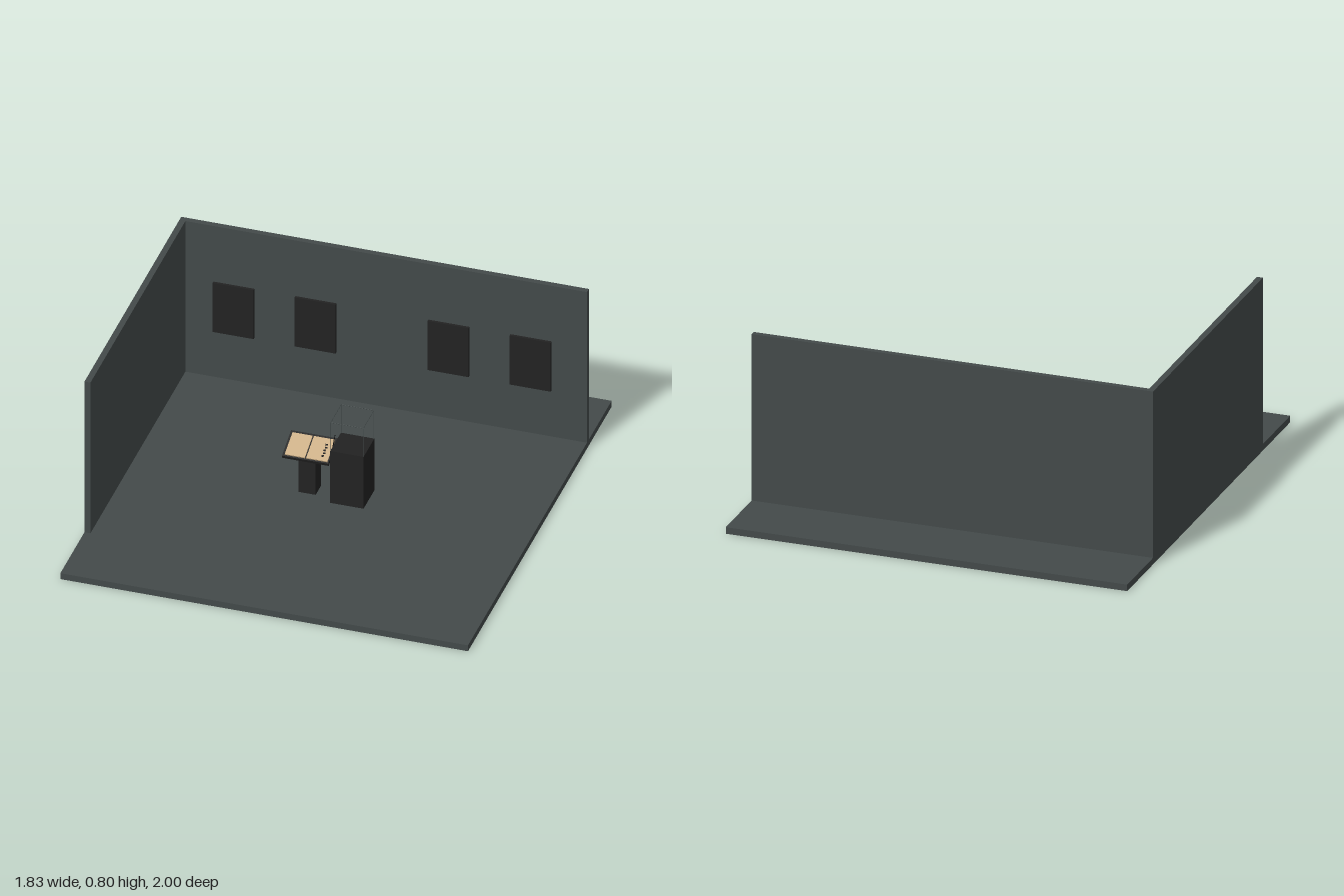
import * as THREE from 'three';

const material = (name, color) => {
  const m = new THREE.MeshStandardMaterial({ color });
  m.name = name;
  return m;
};

export function createModel() {
  const root = new THREE.Group();
  const slate = material('slate', 0x434a4a);
  const charcoal = material('charcoal', 0x222222);
  const parchment = material('parchment', 0xcbae86);
  const ink = material('ink', 0x111111);

  // Box given by its low and high limits on each axis
  function box(name, mat, [x0, x1], [y0, y1], [z0, z1], parent = root) {
    const mesh = new THREE.Mesh(new THREE.BoxGeometry(x1 - x0, y1 - y0, z1 - z0), mat);
    mesh.position.set((x0 + x1) / 2, (y0 + y1) / 2, (z0 + z1) / 2);
    mesh.name = name;
    parent.add(mesh);
    return mesh;
  }

  // Thin rod between two points
  function rod(name, mat, a, b, r0, r1, parent = root) {
    const from = new THREE.Vector3(...a), to = new THREE.Vector3(...b);
    const dir = to.clone().sub(from);
    const mesh = new THREE.Mesh(new THREE.CylinderGeometry(r1, r0, dir.length(), 6), mat);
    mesh.position.copy(from).add(to).multiplyScalar(0.5);
    mesh.quaternion.setFromUnitVectors(new THREE.Vector3(0, 1, 0), dir.normalize());
    mesh.name = name;
    parent.add(mesh);
  }

  // Room shell
  box('floor', slate, [-0.915, 0.915], [0, 0.03], [-1, 1]);
  box('backWall', slate, [-0.915, 0.915], [0.03, 0.8], [-0.683, -0.657]);
  box('sideWall', slate, [-0.915, -0.888], [0.03, 0.8], [-0.657, 0.665]);

  // Framed panels on the back wall
  for (const x of [-0.67, -0.302, 0.295, 0.664]) {
    box('wallPanel', charcoal, [x - 0.092, x + 0.092], [0.266, 0.516], [-0.657, -0.645]);
  }

  // Lectern with a sloping top
  box('lecternPost', charcoal, [-0.142, -0.064], [0.03, 0.225], [0.01, 0.085]);
  const top = new THREE.Group();
  top.name = 'lecternTop';
  top.position.set(-0.102, 0.238, 0.047);
  top.rotation.x = 0.38;
  root.add(top);
  box('slopedBoard', charcoal, [-0.104, 0.104], [-0.0075, 0.0075], [-0.069, 0.069], top);

  // Open book, two pages with a gap for the spine
  box('leftPage', parchment, [-0.093, -0.003], [0.0075, 0.0135], [-0.056, 0.062], top);
  box('rightPage', parchment, [0.003, 0.098], [0.0075, 0.0135], [-0.056, 0.062], top);

  // Column of ink marks
  for (let i = 0; i < 5; i++) {
    const x = 0.07 + (i % 2) * 0.003, z = -0.022 + i * 0.015;
    box('inkMark', ink, [x - 0.005, x + 0.005], [0.0135, 0.015], [z - 0.004, z + 0.004], top);
  }

  // Quill leaning beside the book
  rod('quill', ink, [0.0, 0.25, 0.05], [0.012, 0.33, 0.05], 0.003, 0.0015);

  // Display plinth
  box('plinth', charcoal, [0.014, 0.164], [0.03, 0.295], [-0.025, 0.125]);

  // Slender frame of the display case
  const xs = [0.0155, 0.1625], zs = [-0.0235, 0.1235], y = 0.44, r = 0.0013;
  for (const x of xs) {
    rod('caseTopRail', slate, [x, y, zs[0]], [x, y, zs[1]], r, r);
    for (const z of zs) rod('casePost', slate, [x, 0.295, z], [x, y, z], r, r);
  }
  for (const z of zs) rod('caseTopRail', slate, [xs[0], y, z], [xs[1], y, z], r, r);

  return root;
}
